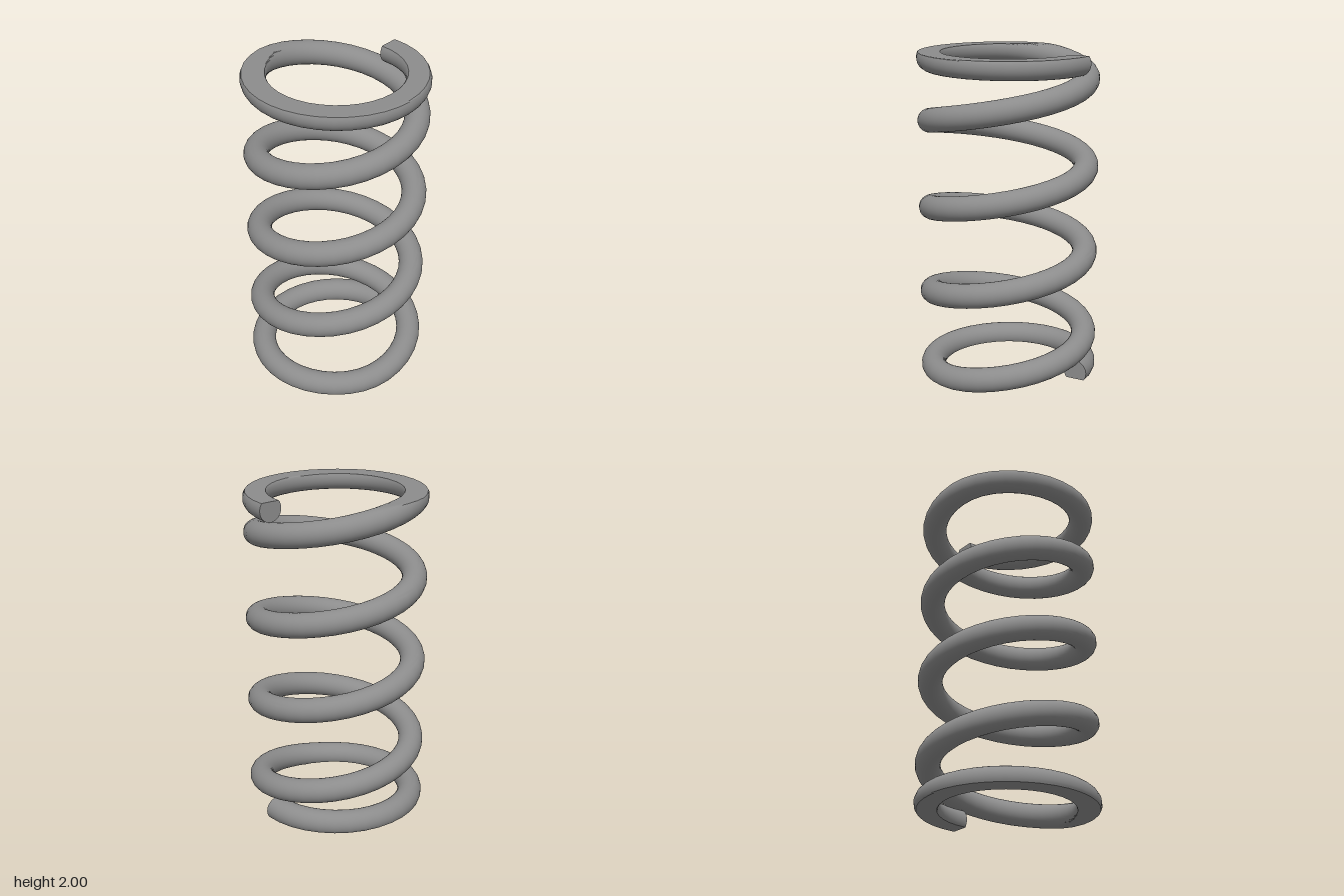
import * as THREE from 'three';
import { toCreasedNormals } from 'three/addons/utils/BufferGeometryUtils.js';

const TURNS = 5, STEPS = 36 * TURNS, SIDES = 40;
const COIL_R = 0.475, WIRE_R = 0.075, HEIGHT = 2, PITCH = 0.5365;

// Wire centre height: an even helix that eases into a nearly flat closed coil at each end
function wireHeight(t) {
  if (t > TURNS / 2) return HEIGHT - wireHeight(TURNS - t);
  const helix = HEIGHT / 2 + PITCH * (t - TURNS / 2);
  const closed = 0.045 - 0.03 * t;
  const d = helix - closed;
  return (helix + closed + Math.sqrt(d * d + 0.0008)) / 2;
}

// Round wire swept along the coil, ground flat at bottom and top
function coilGeometry() {
  const pos = [], index = [];
  const add = (t, r, a) => {
    const theta = t * Math.PI * 2, rad = COIL_R + r * Math.cos(a);
    const y = THREE.MathUtils.clamp(wireHeight(t) + r * Math.sin(a), 0, HEIGHT);
    pos.push(rad * Math.cos(theta), y, -rad * Math.sin(theta));
  };
  for (let i = 0; i <= STEPS; i++)
    for (let j = 0; j < SIDES; j++) add((i / STEPS) * TURNS, WIRE_R, (j / SIDES) * Math.PI * 2);
  for (let i = 0; i < STEPS; i++)
    for (let j = 0; j < SIDES; j++) {
      const k = (j + 1) % SIDES;
      const a = i * SIDES + j, b = a + SIDES, c = i * SIDES + k, d = c + SIDES;
      index.push(a, b, c, b, d, c);
    }
  // Cut faces at the two wire ends
  const start = pos.length / 3, last = STEPS * SIDES;
  add(0, 0, 0);
  add(TURNS, 0, 0);
  for (let j = 0; j < SIDES; j++) {
    const k = (j + 1) % SIDES;
    index.push(start, j, k, start + 1, last + k, last + j);
  }
  const geo = new THREE.BufferGeometry();
  geo.setAttribute('position', new THREE.Float32BufferAttribute(pos, 3));
  geo.setIndex(index);
  return toCreasedNormals(geo, Math.PI / 6);
}

export function createModel() {
  const group = new THREE.Group();
  group.name = 'compressionSpring';
  const steel = new THREE.MeshStandardMaterial({ color: 0x8c8c8c });
  steel.name = 'steel grey';
  const coil = new THREE.Mesh(coilGeometry(), steel);
  coil.name = 'coil';
  group.add(coil);
  return group;
}
